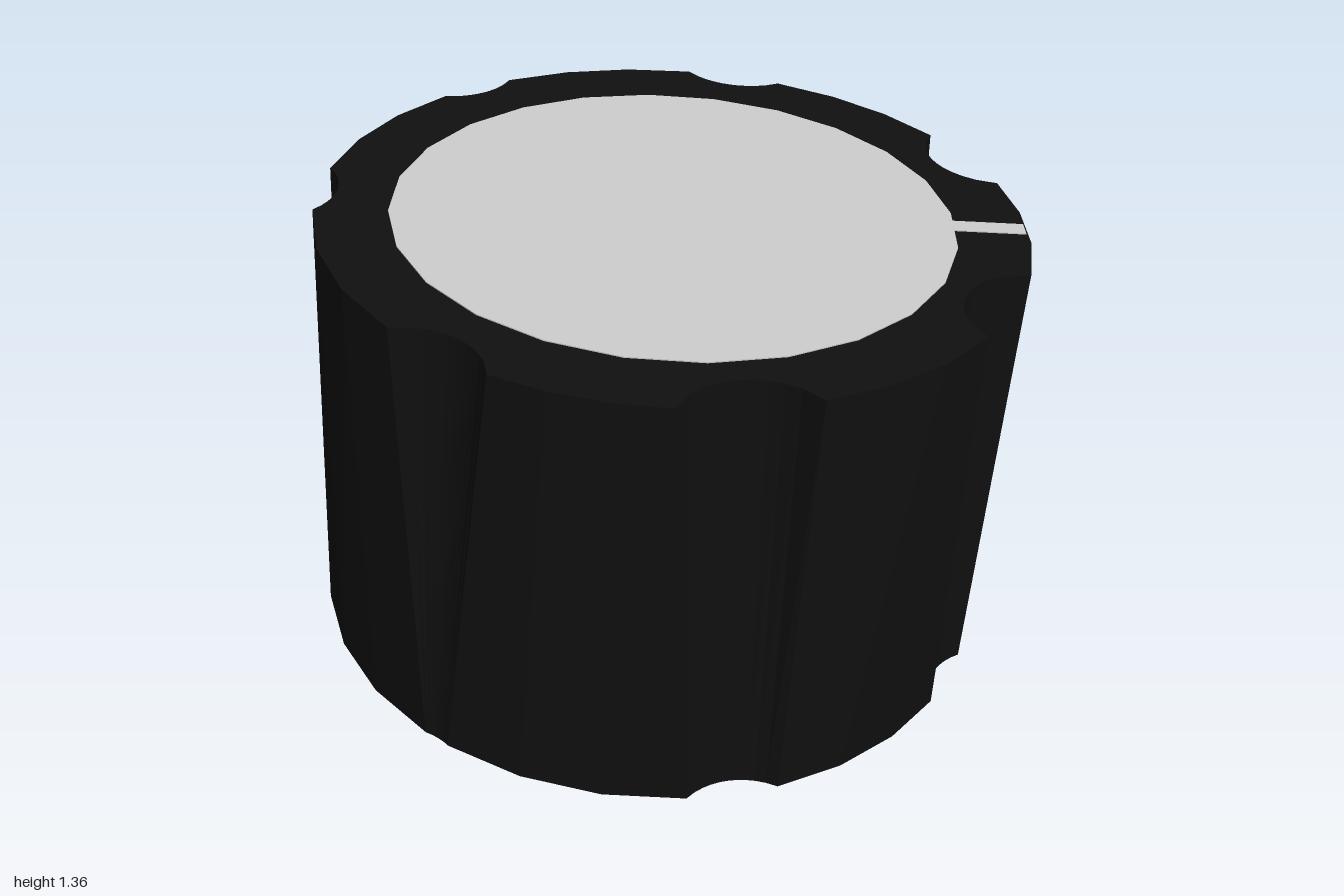
import * as THREE from 'three';

const R = 0.957, H = 1.22, TILT = 0.0735;   // body radius, height, lean towards the front
const GRIP_R = 0.2, GRIP_D = 1.07, GRIPS = 7; // finger scallops: radius, centre distance, count

// Outline of the body at its top (side = 1) or bottom (side = -1): arcs broken by scallops.
// The scallops run straight up while the body leans, so they shift in z along the height.
function outline(side) {
  const shift = -side * TILT * H / 2;
  const cuts = [];
  for (let k = 0; k < GRIPS; k++) {
    const a = (2 * k + 1) * Math.PI / GRIPS;
    let d, angle;
    if (k === 3) { // this scallop runs out towards the bottom
      d = side > 0 ? GRIP_D : 1.152;
      angle = a - 0.05;
    } else {
      const x = GRIP_D * Math.cos(a), z = GRIP_D * Math.sin(a) + shift;
      d = Math.hypot(x, z);
      angle = (Math.atan2(z, x) + 2 * Math.PI) % (2 * Math.PI);
    }
    const half = Math.acos(Math.min(1, (R * R + d * d - GRIP_R * GRIP_R) / (2 * R * d)));
    cuts.push({ d, angle, half });
  }
  const points = [];
  const add = (r, a) => points.push(new THREE.Vector3(r * Math.cos(a), side * H / 2, r * Math.sin(a)));
  cuts.forEach((c, k) => {
    // hollow of the scallop
    for (let i = 0; i <= 10; i++) {
      const t = (i / 5 - 1) * c.half;
      const s = c.d * Math.sin(t);
      add(c.d * Math.cos(t) - Math.sqrt(Math.max(0, GRIP_R * GRIP_R - s * s)), c.angle + t);
    }
    // rounded ridge up to the next scallop
    const next = cuts[(k + 1) % GRIPS];
    const from = c.angle + c.half;
    const to = next.angle - next.half + (k === GRIPS - 1 ? 2 * Math.PI : 0);
    for (let i = 1; i < 3; i++) add(R, from + (to - from) * i / 3);
  });
  return points;
}

function bodyGeometry() {
  const top = outline(1), bottom = outline(-1), n = top.length;
  const topMid = new THREE.Vector3(0, H / 2, 0), bottomMid = new THREE.Vector3(0, -H / 2, 0);
  const corners = [];
  for (let i = 0; i < n; i++) {
    const j = (i + 1) % n;
    corners.push(bottom[i], top[i], bottom[j], top[i], top[j], bottom[j]); // wall
    corners.push(topMid, top[j], top[i], bottomMid, bottom[i], bottom[j]); // caps
  }
  const geometry = new THREE.BufferGeometry().setFromPoints(corners);
  geometry.computeVertexNormals();
  return geometry;
}

export function createModel() {
  const black = new THREE.MeshStandardMaterial({ color: 0x101010, flatShading: true });
  const grey = new THREE.MeshStandardMaterial({ color: 0xcccccc, flatShading: true });
  const model = new THREE.Group();
  model.name = 'knob';

  const add = (name, geometry, material) => {
    const mesh = new THREE.Mesh(geometry, material);
    mesh.name = name;
    model.add(mesh);
    return mesh;
  };

  add('knobBody', bodyGeometry(), black);

  // Flat face plate, almost flush with the top
  add('facePlate', new THREE.CylinderGeometry(0.76, 0.76, 0.01, 24), grey)
    .position.y = H / 2 - 0.002;

  // Pointer line from the plate to the rim
  const angle = 0.88, mid = 0.848;
  const pointer = add('pointerLine', new THREE.BoxGeometry(0.2, 0.01, 0.055), grey);
  pointer.position.set(mid * Math.cos(angle), H / 2 - 0.002, mid * Math.sin(angle));
  pointer.rotation.y = -angle;

  // Lean forward and rest the lowest edge on the ground
  model.rotation.x = TILT;
  model.position.y = (H * Math.cos(TILT)) / 2 + R * Math.sin(TILT);
  const group = new THREE.Group();
  group.add(model);
  return group;
}
